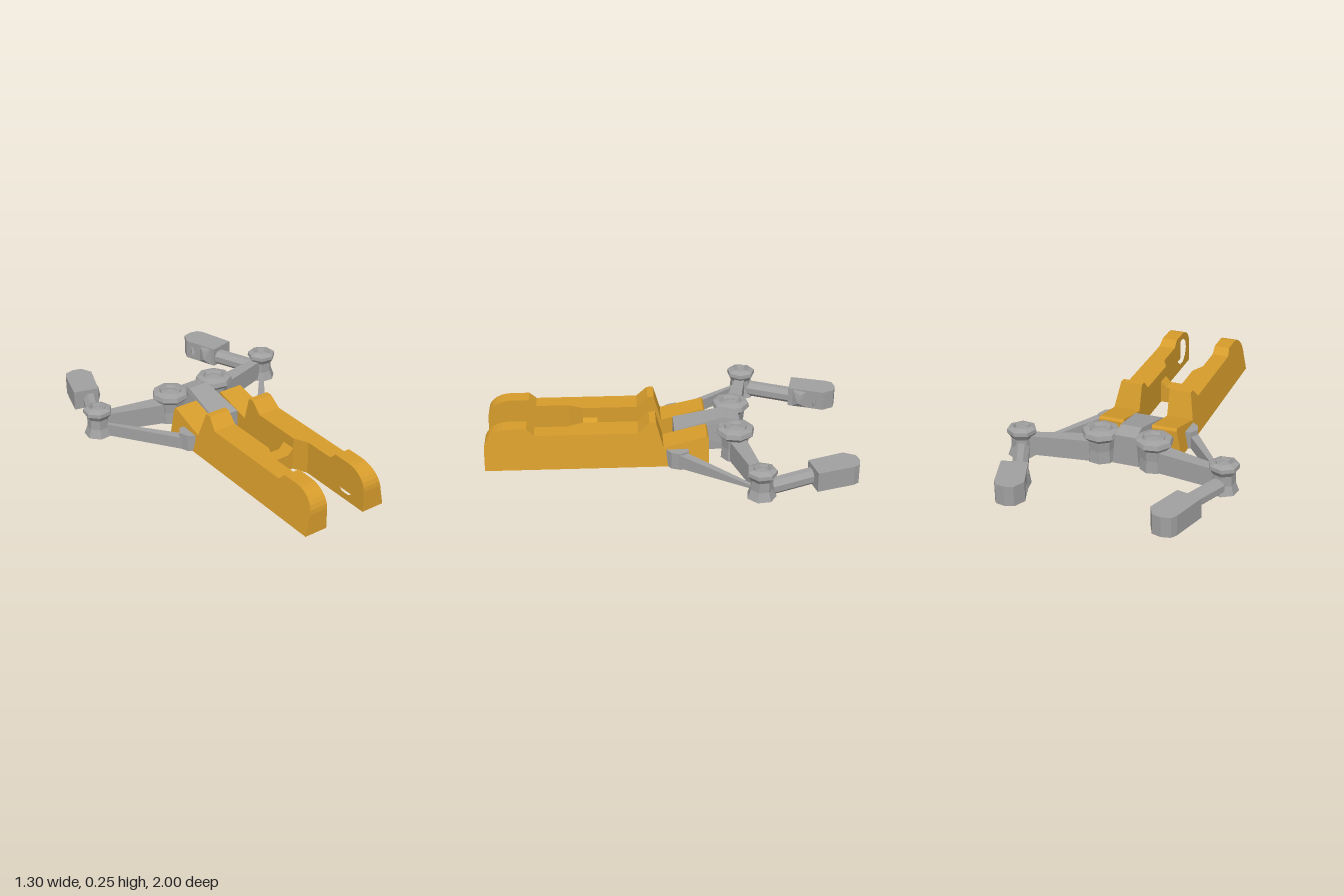
import * as THREE from 'three';
import { ConvexGeometry } from 'three/addons/geometries/ConvexGeometry.js';

const yellow = new THREE.MeshStandardMaterial({ color: 0xd69c2c, flatShading: true });
yellow.name = 'yellow';
const grey = new THREE.MeshStandardMaterial({ color: 0xa0a0a0, flatShading: true });
grey.name = 'grey';

// Mirror a geometry in x, keeping the faces outward
function mirrorX(geo) {
  const g = geo.index ? geo.toNonIndexed() : geo.clone();
  const p = g.attributes.position, a = new THREE.Vector3(), b = new THREE.Vector3();
  for (let i = 0; i < p.count; i++) p.setX(i, -p.getX(i));
  for (let i = 0; i < p.count; i += 3) {
    a.fromBufferAttribute(p, i + 1);
    b.fromBufferAttribute(p, i + 2);
    p.setXYZ(i + 1, b.x, b.y, b.z);
    p.setXYZ(i + 2, a.x, a.y, a.z);
  }
  g.computeVertexNormals();
  return g;
}

const hull = (pts) => new ConvexGeometry(pts.map((p) => new THREE.Vector3(...p)));

// Upright bar between two ends, each [x, z, width, bottom, top]
function beam(a, b) {
  const dx = b[0] - a[0], dz = b[1] - a[1], len = Math.hypot(dx, dz);
  const pts = [];
  for (const [x, z, w, lo, hi] of [a, b])
    for (const s of [-0.5, 0.5])
      for (const y of [lo, hi]) pts.push([x - (dz / len) * w * s, y, z + (dx / len) * w * s]);
  return hull(pts);
}

// Vertical prism over a convex [x, z] outline
const prism = (outline, lo, hi) => hull(outline.flatMap(([x, z]) => [[x, lo, z], [x, hi, z]]));

// Side profile [z, y] extruded in x; inner and outer give x at a vertex
function slab(profile, inner, outer, hole) {
  const shape = new THREE.Shape(profile.map(([z, y]) => new THREE.Vector2(-z, y)));
  if (hole) shape.holes.push(new THREE.Path().absarc(-hole.z, hole.y, hole.r, 0, Math.PI * 2, true));
  const geo = new THREE.ExtrudeGeometry(shape, { depth: 1, bevelEnabled: false, curveSegments: 5 });
  geo.rotateY(Math.PI / 2);
  const p = geo.attributes.position;
  for (let i = 0; i < p.count; i++) {
    let y = p.getY(i), z = p.getZ(i);
    const far = p.getX(i) > 0.5;
    // Taper the socket towards its floor
    if (far && hole && Math.hypot(z - hole.z, y - hole.y) < hole.r + 0.002) {
      y = hole.y + (y - hole.y) * 0.6;
      z = hole.z + (z - hole.z) * 0.6;
    }
    p.setXYZ(i, far ? outer(y) : inner(z), y, z);
  }
  geo.computeVertexNormals();
  return geo;
}

// Turned pivot with a [radius, height] profile
function spool(x, z, profile, sides, turn) {
  const geo = new THREE.LatheGeometry(profile.map((q) => new THREE.Vector2(...q)), sides);
  return geo.rotateY(turn).translate(x, 0, z);
}

export function createModel() {
  const model = new THREE.Group();
  const add = (name, geo, mat) => {
    const mesh = new THREE.Mesh(geo, mat);
    mesh.name = name;
    model.add(mesh);
  };
  const addPair = (name, geo, mat) => {
    add(name + 'Left', geo, mat);
    add(name + 'Right', mirrorX(geo), mat);
  };

  // Rails: rounded nose with socket, tapered middle, notched rear
  const slope = (y) => 0.253 - 0.19 * y;
  const nose = [[0.55, 0], [1, 0], [1, 0.12]];
  for (let i = 1; i <= 7; i++) {
    const a = (i / 7) * Math.PI / 2;
    nose.push([0.87 + 0.13 * Math.cos(a), 0.12 + 0.108 * Math.sin(a)]);
  }
  nose.push([0.77, 0.228], [0.73, 0.19], [0.55, 0.19]);
  const socket = { z: 0.86, y: 0.115, r: 0.08 };
  addPair('railNoseInner', slab(nose, () => 0.12, () => 0.175, socket), yellow);
  addPair('railNoseOuter', slab(nose, () => 0.175, slope), yellow);
  addPair('railMiddle', slab([[0.47, 0], [0.55, 0], [0.55, 0.19], [0.47, 0.19]],
    (z) => (z > 0.5 ? 0.12 : 0.082), slope), yellow);
  addPair('railRear', slab([[-0.21, 0], [0.47, 0], [0.47, 0.19], [0.17, 0.19], [0.11, 0.25],
    [0.075, 0.25], [0.035, 0.105], [-0.2, 0.165], [-0.21, 0.15]], () => 0.082, slope), yellow);

  // Cross tie between the rails
  const tie = new THREE.Shape([[-0.083, 0], [0.083, 0], [0.083, 0.13], [0.05, 0.095], [-0.05, 0.095], [-0.083, 0.13]]
    .map((q) => new THREE.Vector2(...q)));
  add('crossTie', new THREE.ExtrudeGeometry(tie, { depth: 0.08, bevelEnabled: false }).translate(0, 0, 0.39), yellow);

  // Sloping centre block
  const block = [];
  for (const s of [-1, 1]) block.push(
    [s * 0.08, 0, -0.03], [s * 0.08, 0.125, -0.03], [s * 0.06, 0.19, -0.3],
    [s * 0.06, 0.17, -0.39], [s * 0.075, 0, -0.39]);
  add('centreBlock', hull(block), grey);

  // Inner and outer pivots with dished tops and raised hubs
  addPair('innerPivot', spool(0.15, -0.36, [[0, 0], [0.08, 0], [0.075, 0.07], [0.08, 0.125], [0.107, 0.15],
    [0.1, 0.175], [0.066, 0.183], [0.055, 0.165], [0.03, 0.172], [0, 0.172]], 8, 0.2), grey);
  addPair('outerPivot', spool(0.57, -0.46, [[0, 0], [0.08, 0], [0.062, 0.05], [0.06, 0.105], [0.082, 0.135],
    [0.08, 0.155], [0.05, 0.167], [0.042, 0.15], [0.025, 0.157], [0, 0.157]], 7, 0.35), grey);

  // Arms joining the pivots
  addPair('arm', beam([0.15, -0.36, 0.1, 0, 0.12], [0.56, -0.46, 0.05, 0.01, 0.12]), grey);

  // Side brackets and their diagonal struts
  addPair('bracket', prism([[0.235, -0.1], [0.265, -0.1], [0.293, -0.055], [0.275, -0.005], [0.24, 0.02]], 0, 0.098), grey);
  add('strutLeft', beam([0.27, -0.06, 0.05, 0.01, 0.09], [0.55, -0.43, 0.02, 0.03, 0.045]), grey);
  add('strutRight', beam([-0.27, -0.06, 0.05, 0, 0.07], [-0.55, -0.43, 0.02, 0, 0.07]), grey);

  // Rear rods and their end pods
  const rod = new THREE.CylinderGeometry(0.045, 0.045, 0.28, 8).rotateY(Math.PI / 8).rotateX(Math.PI / 2)
    .rotateY(0.4).translate(0.5, 0.045, -0.635);
  addPair('rearRod', rod, grey);
  addPair('podShell', prism([[0.41, -0.725], [0.55, -0.76], [0.49, -0.96], [0.47, -0.99], [0.42, -1],
    [0.37, -0.985], [0.34, -0.92]], 0, 0.112), grey);
  // Grip teeth on the inner edge of each pod, as [tip x, z]
  for (const [x, z] of [[0.345, -0.88], [0.368, -0.79]])
    addPair('podTooth', hull([[0.375, 0, z - 0.04], [0.4, 0, z + 0.04], [x, 0.03, z + 0.01],
      [x + 0.005, 0.08, z], [0.375, 0.105, z - 0.04], [0.4, 0.105, z + 0.04]]), grey);

  return model;
}
